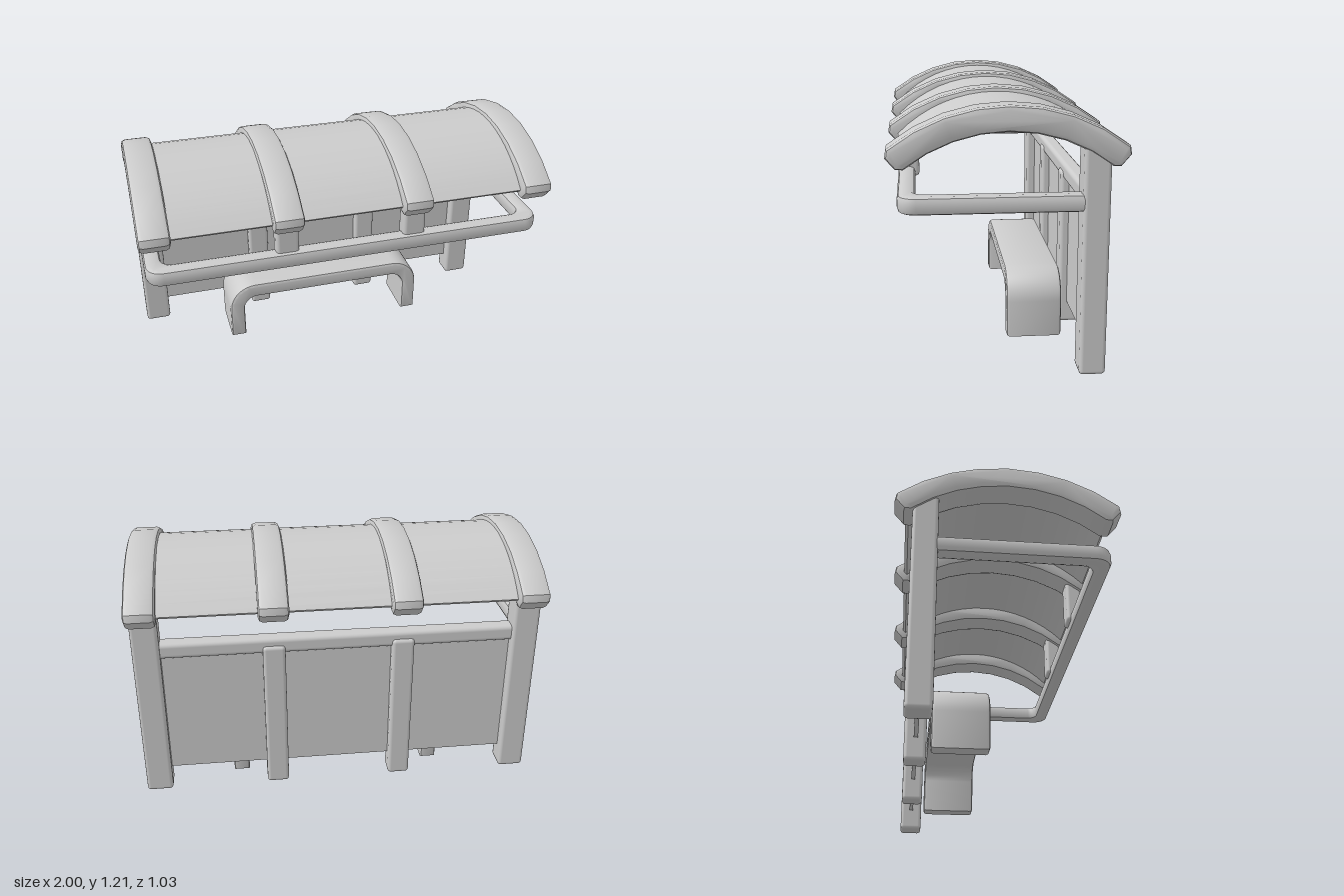
import * as THREE from 'three';
import { RoundedBoxGeometry } from 'three/addons/geometries/RoundedBoxGeometry.js';
import { toCreasedNormals } from 'three/addons/utils/BufferGeometryUtils.js';

const material = new THREE.MeshStandardMaterial({ color: 0xcccccc, side: THREE.DoubleSide });

function add(group, name, geometry, x = 0, y = 0, z = 0) {
  const mesh = new THREE.Mesh(geometry, material);
  mesh.name = name;
  mesh.position.set(x, y, z);
  group.add(mesh);
  return mesh;
}

// Box given by its centre x and its y and z limits
function bar(group, name, x, width, y0, y1, z0, z1, radius = 0.018) {
  const geometry = new RoundedBoxGeometry(width, y1 - y0, z1 - z0, 2, radius);
  add(group, name, geometry, x, (y0 + y1) / 2, (z0 + z1) / 2);
}

// Centred extrusion whose bevel stays inside the outline
function bevelled(shape, depth, bevel, curveSegments = 6) {
  const geometry = new THREE.ExtrudeGeometry(shape, {
    depth: depth - 2 * bevel, bevelEnabled: bevel > 0, bevelSize: bevel,
    bevelThickness: bevel, bevelOffset: -bevel, bevelSegments: 2, curveSegments,
  });
  geometry.translate(0, 0, bevel - depth / 2);
  return toCreasedNormals(geometry, 0.75);
}

// Three-sided frame outline: open end at v0, rounded far corners at v1
function archShape(halfWidth, v0, v1, thick, outerR, innerR) {
  const w = halfWidth, iw = w - thick, iv = v1 - thick;
  const s = new THREE.Shape();
  s.moveTo(w, v0);
  s.lineTo(w, v1 - outerR);
  s.absarc(w - outerR, v1 - outerR, outerR, 0, Math.PI / 2, false);
  s.absarc(-w + outerR, v1 - outerR, outerR, Math.PI / 2, Math.PI, false);
  s.lineTo(-w, v0);
  s.lineTo(-iw, v0);
  s.absarc(-iw + innerR, iv - innerR, innerR, Math.PI, Math.PI / 2, true);
  s.absarc(iw - innerR, iv - innerR, innerR, Math.PI / 2, 0, true);
  s.lineTo(iw, v0);
  s.closePath();
  return s;
}

// Curved strip around (0, cy), with optional blunt tips
function arcShape(cy, rOut, rIn, angle, steps, tip = 0) {
  const at = (r, a) => new THREE.Vector2(r * Math.sin(a), cy + r * Math.cos(a));
  const points = [];
  for (let i = 0; i <= steps; i++) points.push(at(rOut, angle * (1 - 2 * i / steps)));
  if (tip) points.push(at(rOut - 0.025, -angle - tip), at(rIn + 0.022, -angle - tip));
  for (let i = 0; i <= steps; i++) points.push(at(rIn, angle * (-1 + 2 * i / steps)));
  if (tip) points.push(at(rIn + 0.022, angle + tip), at(rOut - 0.025, angle + tip));
  return new THREE.Shape(points);
}

export function createModel() {
  const shelter = new THREE.Group();
  shelter.name = 'shelter';

  // Roof ribs and the thin curved sheet between them
  const ribGeometry = bevelled(arcShape(0.393, 0.819, 0.707, 0.67, 8, 0.035), 0.146, 0.022);
  ribGeometry.rotateY(Math.PI / 2);
  for (const x of [-0.925, -0.315, 0.315, 0.925]) add(shelter, 'roofRib', ribGeometry, x);
  const sheet = bevelled(arcShape(0.53, 0.66, 0.64, 0.785, 16), 1.86, 0);
  sheet.rotateY(Math.PI / 2);
  add(shelter, 'roofSheet', sheet);

  // Posts, and short struts hanging the front rail from the inner ribs
  for (const side of [-1, 1]) {
    bar(shelter, 'outerPost', side * 0.92, 0.13, 0, 1.04, -0.434, -0.316);
    bar(shelter, 'innerPost', side * 0.315, 0.11, 0, 0.79, -0.43, -0.325);
    bar(shelter, 'railStrut', side * 0.315, 0.11, 0.78, 1.04, 0.37, 0.45);
  }

  // Back panel
  add(shelter, 'backPanel', new THREE.BoxGeometry(1.8, 0.68, 0.02), 0, 0.45, -0.375);

  // Rail around the front and sides, closed by the back rail
  const rail = bevelled(archShape(0.98, -0.33, 0.47, 0.08, 0.08, 0.05), 0.08, 0.022, 4);
  rail.rotateX(Math.PI / 2);
  add(shelter, 'frontRail', rail, 0, 0.788);
  bar(shelter, 'backRail', 0, 1.8, 0.748, 0.828, -0.415, -0.335, 0.022);

  // Bench bent from one slab
  const bench = bevelled(archShape(0.54, 0, 0.325, 0.08, 0.145, 0.075), 0.27, 0.016);
  add(shelter, 'bench', bench, 0, 0, -0.175);

  return shelter;
}
